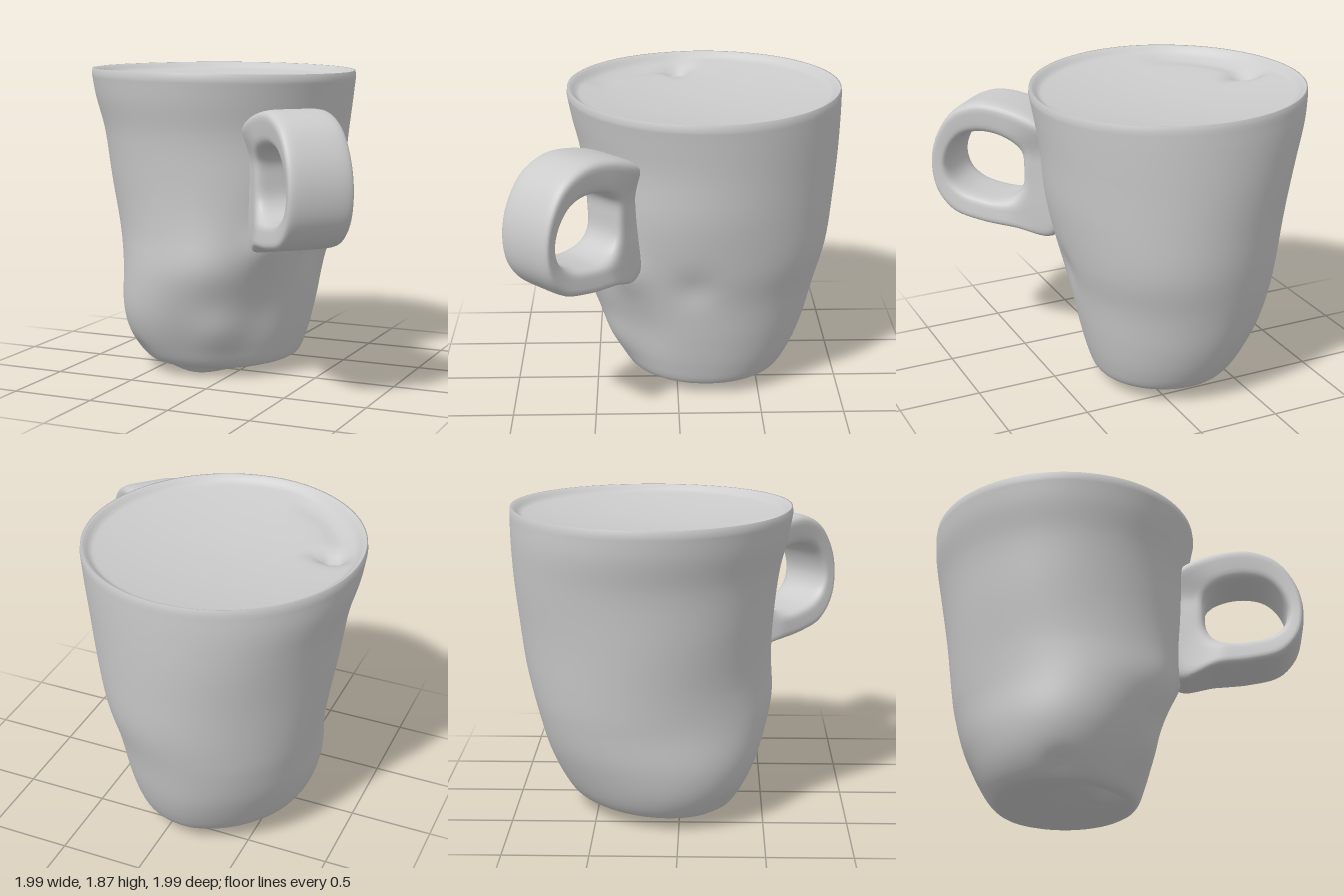
import * as THREE from 'three';

const V = (x, y, z) => new THREE.Vector3(x, y, z);
const { smoothstep } = THREE.MathUtils;
const grey = () => new THREE.MeshStandardMaterial({ color: 0xcccccc });

// Skins a list of equal-length rings; optionally joins the last ring to the first.
function skin(rings, closed = false) {
  const n = rings[0].length, pos = rings.flat().flatMap(p => [p.x, p.y, p.z]), index = [];
  const last = closed ? rings.length : rings.length - 1;
  for (let i = 0; i < last; i++) {
    const a = i * n, b = ((i + 1) % rings.length) * n;
    for (let j = 0; j < n; j++) {
      const k = (j + 1) % n;
      index.push(a + j, b + k, b + j, a + j, a + k, b + k);
    }
  }
  const g = new THREE.BufferGeometry();
  g.setAttribute('position', new THREE.Float32BufferAttribute(pos, 3));
  g.setIndex(index);
  g.computeVertexNormals();
  return g;
}

const bump = (x, y, z, cx, cy, cz, r) =>
  Math.exp(-((x - cx) ** 2 + (y - cy) ** 2 + (z - cz) ** 2) / (r * r));

// Weight that peaks in one direction (degrees from +x towards +z) and fades out 45 degrees away.
const towards = (a, deg) => {
  const d = a - deg * Math.PI / 180;
  return Math.cos(d) > 0 ? Math.max(0, Math.cos(2 * d)) : 0;
};

const rimTilt = x => -0.016 * x - 0.012 * x * x;

// Height of the shallow, dished top, with a raised lip, a pit and a curved groove on one side.
function dishHeight(x, z, t) {
  let y = 1.838 + rimTilt(x) - 0.08 * (1 - t * t) + 0.03 * smoothstep(t, 0.92, 0.985);
  y -= 0.07 * bump(x, 0, z, -0.78, 0, -0.02, 0.07);
  for (let i = 0; i < 8; i++) {
    const a = 2.95 - i * 0.14;
    y -= (0.026 - i * 0.002) * bump(x, 0, z, -0.185 + 0.67 * Math.cos(a), 0, -0.17 + 0.71 * Math.sin(a), 0.08);
  }
  return y;
}

function cupGeometry() {
  // y, min x, max x, min z, max z
  const levels = [
    [0.06, -0.56, 0.21, -0.55, 0.24], [0.085, -0.63, 0.27, -0.63, 0.3],
    [0.2, -0.71, 0.315, -0.71, 0.375], [0.4, -0.775, 0.365, -0.8, 0.465],
    [0.65, -0.8, 0.42, -0.87, 0.53], [0.9, -0.83, 0.49, -0.925, 0.54],
    [1.2, -0.88, 0.55, -0.955, 0.56], [1.5, -0.93, 0.58, -0.985, 0.59],
    [1.7, -0.98, 0.61, -0.995, 0.635], [1.83, -0.998, 0.63, -0.995, 0.66]
  ];
  const xs = new THREE.CatmullRomCurve3(levels.map(l => V(l[0], l[1], l[2])));
  const zs = new THREE.CatmullRomCurve3(levels.map(l => V(l[0], l[3], l[4])));
  const N = 96, rings = [];
  const ring = fn => rings.push(Array.from({ length: N }, (_, j) => fn(-j / N * Math.PI * 2)));
  // uneven outline of the foot: one full corner, two flattened sides
  const footShape = a => 0.1 * towards(a, 135) - 0.09 * towards(a, 225)
    - 0.03 * towards(a, 45) + 0.05 * towards(a, -45);

  // underside, tilted a little and sagging to one low point
  for (const t of [0.001, 0.15, 0.3, 0.45, 0.6, 0.68, 0.74, 0.8, 0.88]) ring(a => {
    const r = t * (1 + footShape(a));
    const x = -0.18 + 0.4 * r * Math.cos(a), z = -0.155 + 0.41 * r * Math.sin(a);
    const sag = Math.max(0, 1 - Math.hypot(x + 0.2, z - 0.14) / 0.24);
    return V(x, 0.06 - 0.03 * z - 0.056 * sag, z);
  });
  // wall, with soft hand-made unevenness
  for (let i = 0; i <= 60; i++) {
    const p = xs.getPoint(i / 60), q = zs.getPoint(i / 60);
    const low = 1 - smoothstep(p.x, 0.15, 0.75);
    ring(a => {
      const c = Math.cos(a), s = Math.sin(a), f = 1 + low * footShape(a);
      const x0 = (p.y + p.z) / 2 + (p.z - p.y) / 2 * c * f;
      const z0 = (q.y + q.z) / 2 + (q.z - q.y) / 2 * s * f;
      const d = 0.03 * bump(x0, p.x, z0, 0.02, 0.72, 0.5, 0.2)
        + 0.03 * bump(x0, p.x, z0, 0.04, 0.3, 0.4, 0.16)
        - 0.025 * bump(x0, p.x, z0, 0.3, 0.45, 0.25, 0.2)
        + 0.04 * bump(x0, p.x, z0, 0.31, 0.84, 0.32, 0.13)
        - 0.025 * bump(x0, p.x, z0, 0.42, 0.8, -0.1, 0.12)
        - 0.02 * bump(x0, p.x, z0, -0.55, 0.13, 0.25, 0.08)
        + 0.006 * Math.sin(3 * a + 5 * p.x) * Math.sin(p.x * 1.7);
      const top = Math.max(0, i - 50) / 10, foot = Math.max(0, 1 - i / 12);
      return V(x0 + c * d, p.x + rimTilt(x0) * top - 0.03 * z0 * foot, z0 + s * d);
    });
  }
  // rounded rim and dished top
  for (const t of [0.995, 0.985, 0.97, 0.95, 0.93, 0.91, 0.88, 0.84, 0.8, 0.75, 0.7, 0.6, 0.5, 0.35, 0.2, 0.001])
    ring(a => {
      const x = -0.184 + 0.814 * t * Math.cos(a), z = -0.168 + 0.828 * t * Math.sin(a);
      return V(x, dishHeight(x, z, t), z);
    });
  return skin(rings);
}

function handleGeometry() {
  // outer and inner outline of the loop: distance from the axis, height
  const outer = [[0.38, 1.3], [0.4, 1.5], [0.52, 1.6], [0.74, 1.67], [0.92, 1.675], [1.08, 1.6],
    [1.19, 1.44], [1.23, 1.26], [1.2, 1.08], [1.09, 0.95], [0.9, 0.9], [0.68, 0.88], [0.46, 0.83], [0.36, 1.0]];
  const inner = [[0.63, 1.27], [0.64, 1.37], [0.69, 1.43], [0.78, 1.47], [0.9, 1.48], [1.01, 1.45],
    [1.09, 1.37], [1.13, 1.25], [1.1, 1.15], [1.02, 1.09], [0.9, 1.06], [0.78, 1.055], [0.69, 1.09], [0.64, 1.16]];
  const curve = list => new THREE.CatmullRomCurve3(list.map(([s, y]) => V(s, y, 0)), true);
  const co = curve(outer), ci = curve(inner), rings = [], M = 84, K = 32;
  for (let i = 0; i < M; i++) {
    const o = co.getPoint(i / M), n = ci.getPoint(i / M);
    rings.push(Array.from({ length: K }, (_, j) => {
      // rounded-rectangle section: u across the strap, v from inside to outside
      const a = (j + 0.5) / K * Math.PI * 2, c = Math.cos(a), s = Math.sin(a);
      const u = Math.sign(c) * Math.abs(c) ** 0.35, v = Math.sign(s) * Math.abs(s) ** 0.45;
      const p = n.clone().lerp(o, 0.5 + 0.5 * v);
      // narrower where it melts into the cup below the top joint
      const taper = 1 - 0.35 * (1 - smoothstep(p.x, 0.45, 0.75)) * (1 - smoothstep(p.y, 1.35, 1.6));
      const w = u * taper * (0.188 + 0.01 * v);
      return V((p.x + w) * Math.SQRT1_2, p.y, (p.x - w) * Math.SQRT1_2);
    }));
  }
  return skin(rings, true);
}

export function createModel() {
  const group = new THREE.Group();
  const add = (name, geometry) => {
    const m = new THREE.Mesh(geometry, grey());
    m.name = name;
    group.add(m);
  };
  add('cupBody', cupGeometry());
  add('handle', handleGeometry());
  return group;
}
